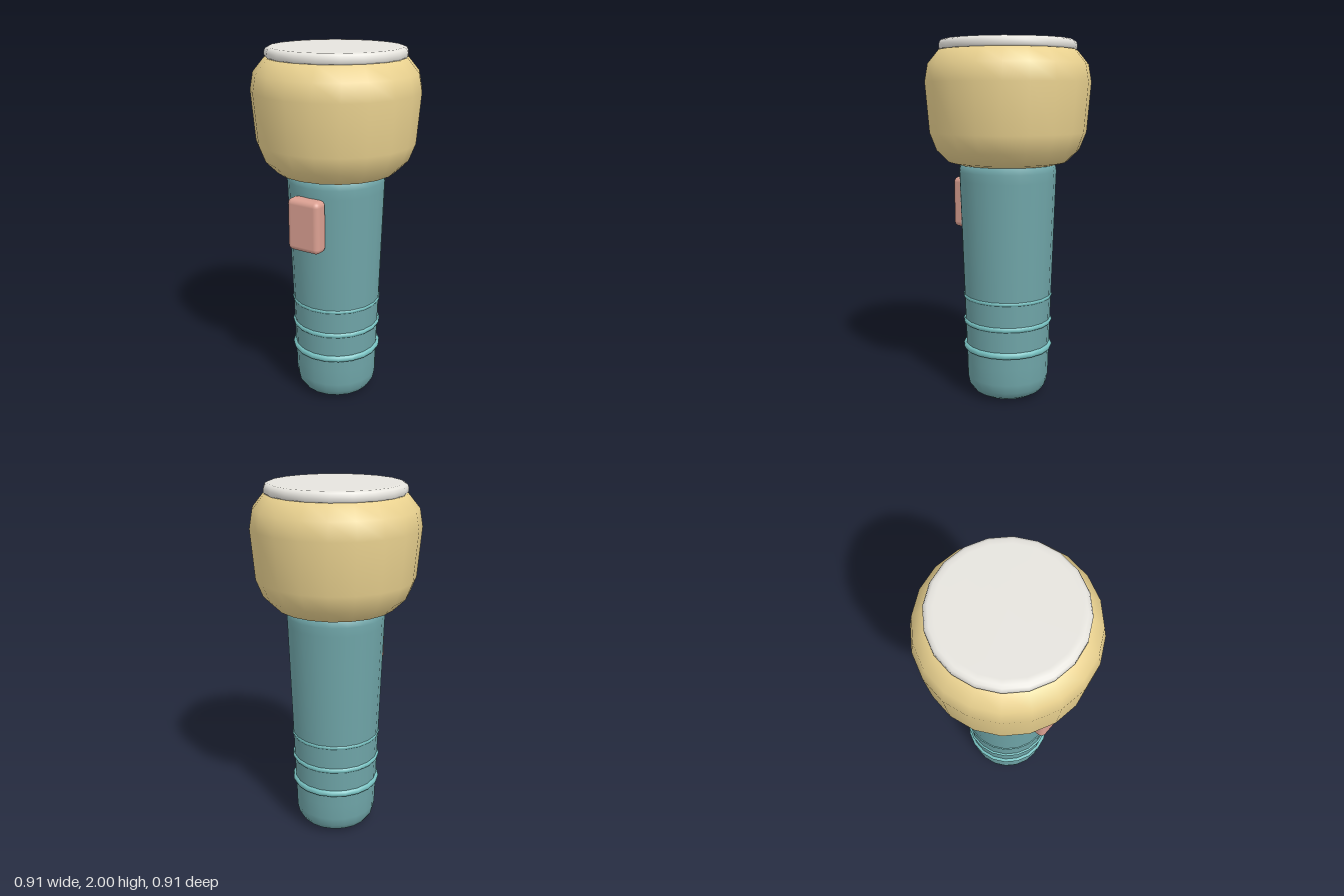
import * as THREE from 'three';
import { RoundedBoxGeometry } from 'three/addons/geometries/RoundedBoxGeometry.js';

const SIDES = 20;

export function createModel() {
  const model = new THREE.Group();

  function add(name, geometry, color) {
    const mesh = new THREE.Mesh(geometry, new THREE.MeshStandardMaterial({ color }));
    mesh.name = name;
    model.add(mesh);
    return mesh;
  }

  // Turned part from [radius, height] pairs, bottom to top
  const turned = (profile) =>
    new THREE.LatheGeometry(profile.map(([r, y]) => new THREE.Vector2(r, y)), SIDES);

  // Tapered handle with a rounded butt
  add('handle', turned([
    [0, 0], [0.14, 0], [0.165, 0.004], [0.2, 0.025], [0.224, 0.06], [0.234, 0.11],
    [0.236, 0.2], [0.27, 1.24], [0.272, 1.29], [0.265, 1.33], [0.2, 1.36], [0, 1.36],
  ]), 0x6fa5a8);

  // Bulging lamp head
  add('head', turned([
    [0, 1.322], [0.19, 1.322], [0.27, 1.327], [0.33, 1.343], [0.398, 1.41], [0.435, 1.505],
    [0.457, 1.775], [0.44, 1.87], [0.378, 1.945], [0.32, 1.955], [0, 1.955],
  ]), 0xe9d18f);

  // Lens disc with a softened rim
  add('lens', turned([
    [0, 1.945], [0.37, 1.945], [0.378, 1.955], [0.378, 1.975], [0.371, 1.991],
    [0.355, 1.999], [0.33, 2], [0, 2],
  ]), 0xe6e4de);

  // Grip rings, thicker towards the butt
  for (const [y, radius, tube] of [[0.285, 0.235, 0.02], [0.435, 0.238, 0.016], [0.582, 0.242, 0.012]]) {
    const ring = add('gripRing', new THREE.TorusGeometry(radius, tube, 8, SIDES), 0x78c2c2);
    ring.rotation.x = Math.PI / 2;
    ring.position.y = y;
  }

  // Sliding switch on the front
  add('switch', new RoundedBoxGeometry(0.2, 0.29, 0.09, 3, 0.03), 0xdba092).position.set(0, 1.095, 0.288);

  return model;
}
